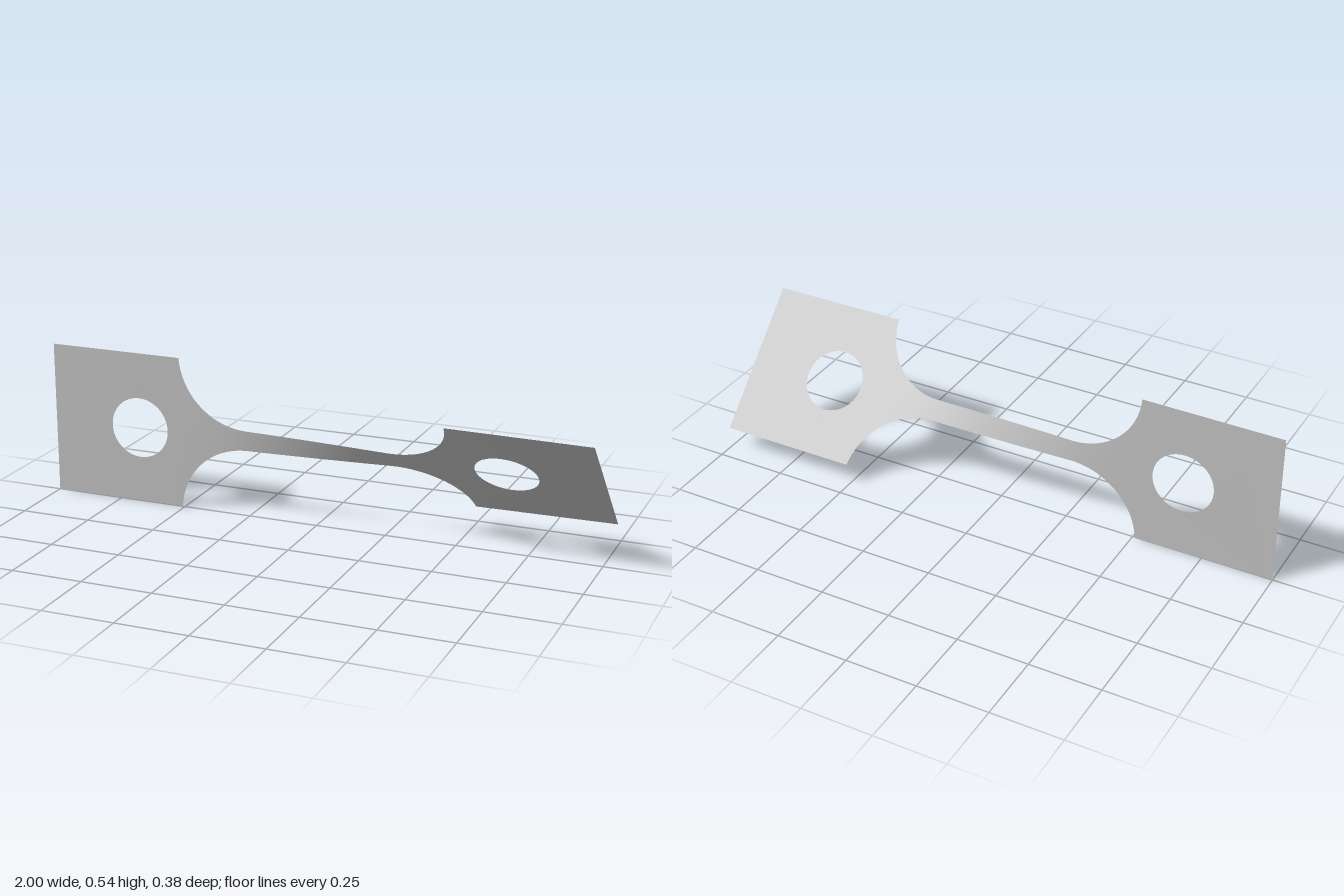
import * as THREE from 'three';

const MID = 0.271;      // height of the bar's axis, also half the plate height
const NECK = 0.037;     // half width of the neck
const NECK_END = 0.26;  // where the neck meets the fillets
const R = 0.25;         // fillet radius
const SWEEP = Math.acos((R - (MID - NECK)) / R);
const PLATE = NECK_END + R * Math.sin(SWEEP); // inner edge of the end plates

// Half width of the bar at distance x along its axis
function halfWidth(x) {
  const u = Math.abs(x) - NECK_END;
  if (u <= 0) return NECK;
  if (u >= PLATE - NECK_END) return MID;
  return NECK + R - Math.sqrt(R * R - u * u);
}

// Twist angle along the bar: narrow sections twist most, 45 degrees in total
const N = 800;
const twistTable = [0];
for (let i = 0; i < N; i++) {
  const x = -1 + (2 * (i + 0.5)) / N;
  twistTable.push(twistTable[i] + halfWidth(x) ** -1.7);
}
function twistAt(x) {
  const t = THREE.MathUtils.clamp((x + 1) / 2, 0, 1) * N;
  const i = Math.min(N - 1, Math.floor(t));
  const sum = THREE.MathUtils.lerp(twistTable[i], twistTable[i + 1], t - i);
  return (Math.PI / 4) * (sum / twistTable[N]);
}

// Turn every vertex about the axis, tipping the upper edge forward
function twist(geometry) {
  const p = geometry.attributes.position;
  for (let i = 0; i < p.count; i++) {
    const x = p.getX(i), y = p.getY(i), a = twistAt(x);
    p.setXYZ(i, x, MID + y * Math.cos(a), y * Math.sin(a));
  }
  geometry.computeVertexNormals();
  return geometry;
}

// Neck with its fillets: a grid shaped to the outline
function neckGeometry() {
  const geometry = new THREE.PlaneGeometry(2, 2, 120, 8);
  const p = geometry.attributes.position;
  for (let i = 0; i < p.count; i++) {
    const t = p.getX(i), d = Math.abs(t);
    const x = d < 0.4
      ? (NECK_END * d) / 0.4
      : NECK_END + R * Math.sin((SWEEP * (d - 0.4)) / 0.6);
    p.setX(i, Math.sign(t) * x);
    p.setY(i, p.getY(i) * halfWidth(x));
  }
  return twist(geometry);
}

// End plate with a round hole
function plateGeometry(side) {
  const a = Math.min(side * PLATE, side), b = Math.max(side * PLATE, side);
  const shape = new THREE.Shape();
  shape.moveTo(a, -MID).lineTo(b, -MID).lineTo(b, MID).lineTo(a, MID).closePath();
  const hole = new THREE.Path();
  hole.absarc(side * 0.668, 0, 0.108, 0, Math.PI * 2, true);
  shape.holes.push(hole);
  return twist(new THREE.ShapeGeometry(shape, 32));
}

export function createModel() {
  const group = new THREE.Group();
  group.name = 'twistedBar';
  const steel = new THREE.MeshStandardMaterial({ color: 0xc0c0c0, side: THREE.DoubleSide });
  steel.name = 'steelGrey';

  const add = (name, geometry) => {
    const mesh = new THREE.Mesh(geometry, steel);
    mesh.name = name;
    group.add(mesh);
  };
  add('neck', neckGeometry());
  add('rightPlate', plateGeometry(-1));
  add('leftPlate', plateGeometry(1));
  return group;
}
